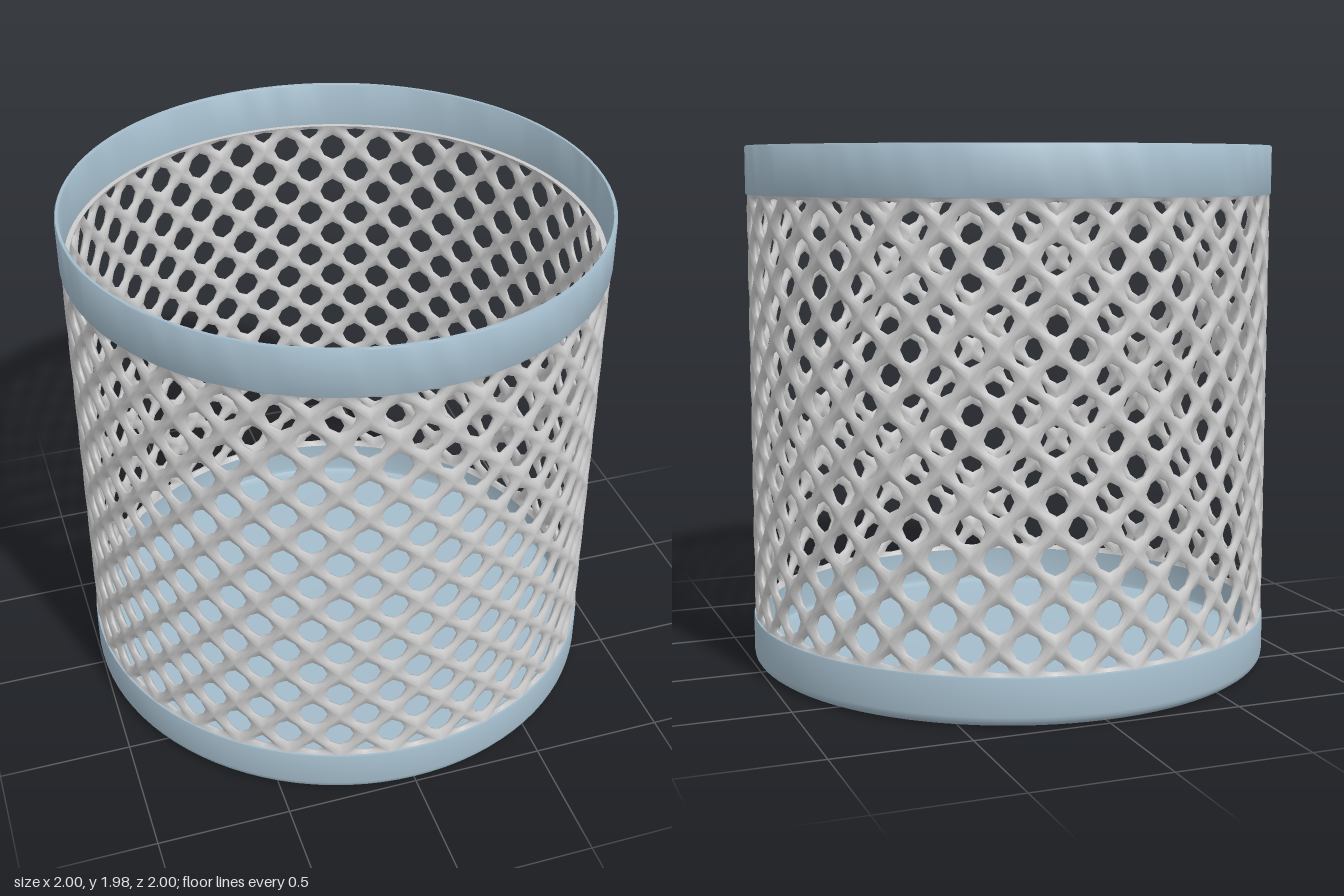
import * as THREE from 'three';
import { mergeVertices, toCreasedNormals } from 'three/addons/utils/BufferGeometryUtils.js';

const COLUMNS = 32, ROWS = 16;
const MESH_BOTTOM = 0.175, MESH_TOP = 1.8;
const OUTER = 0.996, INNER = 0.963;

// Cross-section of half a lattice bar: [0 = bar centre .. 1 = hole edge, radius]
const BAR = [[0, OUTER], [0.5, 0.989], [0.92, 0.985], [1, 0.979], [0.92, 0.973], [0.5, 0.969], [0, INNER]];

// Diamond cells wrapped round a cylinder, each with a rounded hole
function latticeGeometry() {
  const positions = [];
  const da = Math.PI / COLUMNS;
  const h = (MESH_TOP - MESH_BOTTOM) / ROWS;

  const addCell = (corners) => {
    const n = corners.length;
    const [cornerScale, midScale] = n === 4 ? [0.54, 0.73] : [0.4, 0.54];
    const ca = corners.reduce((s, c) => s + c[0], 0) / n;
    const cy = corners.reduce((s, c) => s + c[1], 0) / n;
    const rim = [];
    corners.forEach((c, i) => {
      const d = corners[(i + 1) % n];
      rim.push([c[0], c[1], cornerScale]);
      rim.push([(c[0] + d[0]) / 2, (c[1] + d[1]) / 2, midScale]);
    });
    const vertex = ([a, y, scale], [t, r]) => {
      const k = 1 + (scale - 1) * t;
      const angle = ca + (a - ca) * k;
      return [r * Math.sin(angle), cy + (y - cy) * k, r * Math.cos(angle)];
    };
    rim.forEach((p, i) => {
      const q = rim[(i + 1) % rim.length];
      for (let s = 0; s < BAR.length - 1; s++) {
        const A = vertex(p, BAR[s]), B = vertex(q, BAR[s]);
        const C = vertex(q, BAR[s + 1]), D = vertex(p, BAR[s + 1]);
        positions.push(...A, ...B, ...C, ...A, ...C, ...D);
      }
    });
  };

  // Rows are staggered; the first and last hold half cells
  for (let j = 0; j <= ROWS; j++) {
    for (let i = 0; i < COLUMNS; i++) {
      const a = (2 * i + (j % 2)) * da;
      const y = MESH_BOTTOM + j * h;
      const corners = [[a + da, y]];
      if (j < ROWS) corners.push([a, y + h]);
      corners.push([a - da, y]);
      if (j > 0) corners.push([a, y - h]);
      addCell(corners);
    }
  }
  const geometry = new THREE.BufferGeometry();
  geometry.setAttribute('position', new THREE.Float32BufferAttribute(positions, 3));
  const merged = mergeVertices(geometry, 1e-4);
  merged.computeVertexNormals();
  return merged;
}

function turned(points) {
  const profile = points.map(([r, y]) => new THREE.Vector2(r, y));
  return toCreasedNormals(new THREE.LatheGeometry(profile, 96), 0.6);
}

export function createModel() {
  const group = new THREE.Group();
  const metal = new THREE.MeshStandardMaterial({ color: 0xcccccc, side: THREE.DoubleSide });
  const painted = new THREE.MeshStandardMaterial({ color: 0xa4bccb });
  const add = (name, geometry, material) => {
    const mesh = new THREE.Mesh(geometry, material);
    mesh.name = name;
    group.add(mesh);
  };

  add('latticeWall', latticeGeometry(), metal);

  // Flat ends that close the lattice at the rim and the base
  for (const [name, y] of [['latticeTopEdge', MESH_TOP], ['latticeBottomEdge', MESH_BOTTOM]]) {
    add(name, turned([[INNER, y], [OUTER, y]]), metal);
  }

  // Plain band round the mouth
  add('rim', turned([
    [0.982, 1.795], [0.998, 1.795], [1, 1.8], [1, 1.97], [0.996, 1.976],
    [0.986, 1.976], [0.982, 1.97], [0.982, 1.795],
  ]), painted);

  // Shallow tray with a rounded lower edge
  add('base', turned([
    [0, 0], [0.945, 0], [0.974, 0.004], [0.99, 0.015], [0.998, 0.027], [1, 0.04], [1, 0.175], [0.998, 0.18],
    [0.982, 0.18], [0.982, 0.045], [0.976, 0.03], [0.962, 0.022], [0.94, 0.02], [0, 0.02],
  ]), painted);

  return group;
}
